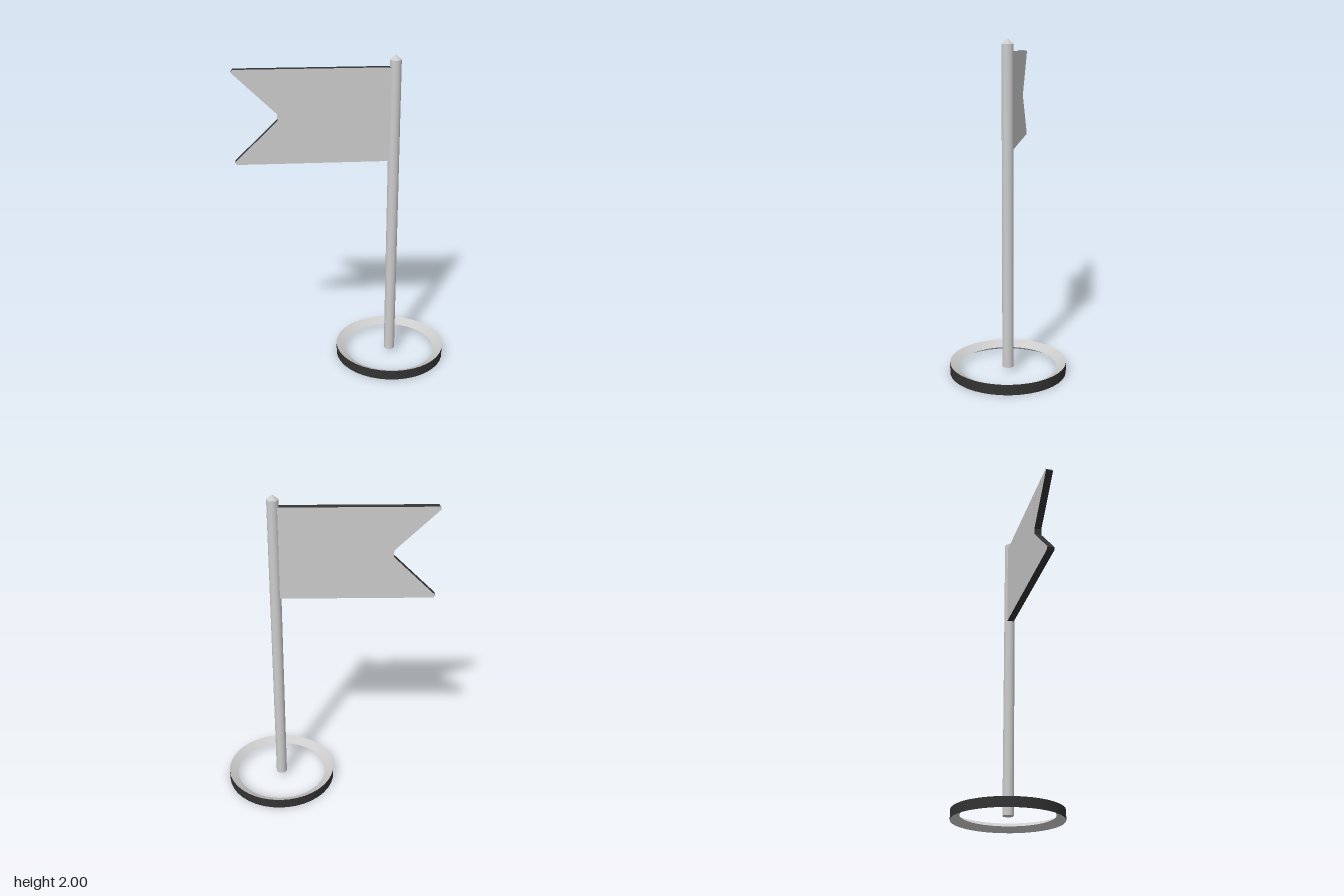
import * as THREE from 'three';

const POLE_X = 0.305;

export function createModel() {
  const model = new THREE.Group();
  const grey = new THREE.MeshStandardMaterial({ color: 0xcccccc });
  const dark = new THREE.MeshStandardMaterial({ color: 0x333333 });

  const add = (parent, name, geometry, material, x = 0, y = 0, z = 0) => {
    const mesh = new THREE.Mesh(geometry, material);
    mesh.name = name;
    mesh.position.set(x, y, z);
    parent.add(mesh);
    return mesh;
  };

  // Pole with a pointed cap
  const poleBottom = 0.03, poleTop = 1.97, poleRadius = 0.035;
  const poleHeight = poleTop - poleBottom;
  add(model, 'pole', new THREE.CylinderGeometry(poleRadius, poleRadius, poleHeight, 24),
    grey, POLE_X, poleBottom + poleHeight / 2);
  add(model, 'poleTip', new THREE.ConeGeometry(poleRadius, 0.03, 24), grey, POLE_X, poleTop + 0.015);

  // Base ring with a triangular section: upright outer wall, two slopes meeting inside
  const ring = new THREE.Group();
  ring.name = 'baseRing';
  ring.position.x = POLE_X;
  model.add(ring);
  const outer = 0.355, inner = 0.297, height = 0.064;
  const band = (r0, y0, r1, y1) =>
    new THREE.LatheGeometry([new THREE.Vector2(r0, y0), new THREE.Vector2(r1, y1)], 40);
  add(ring, 'ringOuterWall', band(outer, 0, outer, height), dark);
  add(ring, 'ringUpperSlope', band(outer, height, inner, height / 2), grey);
  add(ring, 'ringLowerSlope', band(inner, height / 2, outer, 0), grey);

  // Swallowtail flag with blunted tips and notch, dark along its edges
  const midY = 1.6425, half = 0.2875, depth = 0.044;
  const upper = [[0.29, half], [-0.652, half], [-0.661, half - 0.016], [-0.4, 0.02]];
  const lower = upper.map(([x, y]) => [x, -y]).reverse();
  const outline = [...upper, ...lower].map(([x, y]) => new THREE.Vector2(x, y));
  const flag = new THREE.ExtrudeGeometry(new THREE.Shape(outline), { depth, bevelEnabled: false });
  add(model, 'flag', flag, [grey, dark], 0, midY, -depth / 2);

  return model;
}
